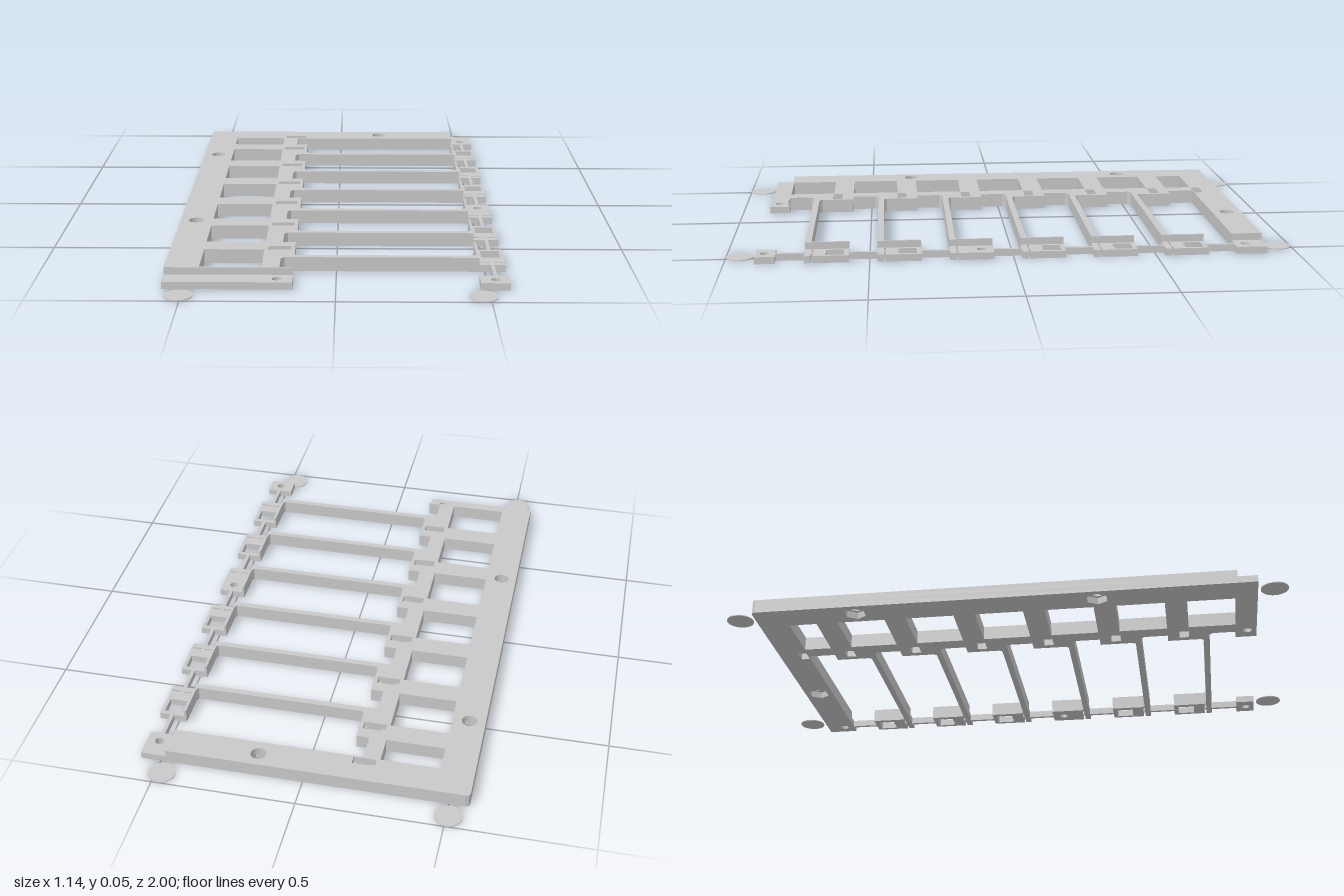
import * as THREE from 'three';

const H = 0.05, HALF = 0.025, PITCH = 0.2513;
const BAR = 0.078; // depth of each cross bar
const STEP = 0.481; // x where the full height drops to half
const starts = Array.from({ length: 6 }, (_, i) => -0.685 + PITCH * i);

export function createModel() {
  const group = new THREE.Group();
  const grey = new THREE.MeshStandardMaterial({ color: 0xc8c8c8 });
  grey.name = 'grey plastic';

  const add = (name, geometry) => {
    const mesh = new THREE.Mesh(geometry, grey);
    mesh.name = name;
    group.add(mesh);
    return mesh;
  };
  const box = (name, x0, x1, y0, y1, z0, z1) =>
    add(name, new THREE.BoxGeometry(x1 - x0, y1 - y0, z1 - z0))
      .position.set((x0 + x1) / 2, (y0 + y1) / 2, (z0 + z1) / 2);

  // Plan outlines are given as [x, z] and raised from y0 to y1
  const outline = pts => pts.map(([x, z]) => new THREE.Vector2(x, -z));
  const rect = (x0, x1, z0, z1) => [[x0, z0], [x1, z0], [x1, z1], [x0, z1]];
  const ring = (x, z, r, n = 24) => Array.from({ length: n }, (_, i) => {
    const a = (i / n) * Math.PI * 2;
    return [x + r * Math.cos(a), z + r * Math.sin(a)];
  });
  const plate = (name, pts, holes, y0, y1) => {
    const shape = new THREE.Shape(outline(pts));
    // holes wind against the outline so their walls face inwards
    shape.holes = holes.map(h => new THREE.Path(outline(h).reverse()));
    const geometry = new THREE.ExtrudeGeometry(shape, { depth: y1 - y0, bevelEnabled: false });
    geometry.rotateX(-Math.PI / 2).translate(0, y0, 0);
    return add(name, geometry);
  };

  // Rails, spine and tabs; the tabs flare into the arms
  const frame = (right, front) => {
    const pts = [[-0.57, -0.88], [-0.566, -0.891], [-0.555, -0.895],
      [right, -0.895], [right, -0.785], [-0.187, -0.785]];
    for (const b of starts)
      pts.push([-0.187, b], [-0.142, b], [-0.142, b + 0.12], [-0.134, b + 0.131],
        [-0.134, b + 0.142], [-0.175, b + 0.153], [-0.187, b + 0.165]);
    pts.push([-0.187, 0.819], [-0.142, 0.819], [-0.142, front], [-0.57, front]);
    return pts;
  };
  const screws = [[0.166, -0.842], [-0.513, -0.527], [-0.513, 0.338]];
  const backs = [-0.785, ...starts.map(b => b + BAR)];
  const windows = backs.map((z, i) => rect(-0.453, -0.247, z, i < 6 ? starts[i] : 0.819));
  const slots = (x0, x1) => backs.map((z, i) => rect(x0, x1, z - 0.035, z - (i ? 0 : 0.004)));

  plate('frameBase', frame(0.57, 0.895), [
    ...windows, ...slots(-0.214, -0.165),
    ...screws.map(([x, z]) => ring(x, z, 0.04, 6)), // nut recesses
    ring(0.525, -0.825, 0.016), ring(-0.194, 0.862, 0.016),
  ], 0, HALF);
  plate('frameTop', frame(STEP, 0.826), [
    ...windows, ...slots(-0.235, -0.155),
    ...screws.map(([x, z]) => ring(x, z, 0.027)),
  ], HALF, H);

  // Arms with a clip block at each tip
  starts.forEach((b, i) => {
    const z0 = b + 0.131, z1 = b + 0.153;
    box('arm', -0.18, STEP, 0, H, z0, z1);
    box('armTip', STEP, 0.57, 0, HALF, z0, z1);
    const hole = i === 3 ? ring(0.525, b + 0.042, 0.016) : rect(0.494, 0.557, b + 0.017, b + 0.08);
    plate('clipBlock', rect(STEP, 0.57, b, b + 0.124), [hole], 0, HALF);
    plate('clipWall', [[0.473, b], [STEP, b], [STEP, b + 0.133], [0.465, b + 0.133], [0.473, b + 0.12]], [], 0, H);
  });
  plate('endBlock', rect(0.473, 0.57, 0.825, 0.895), [ring(0.525, 0.862, 0.016)], 0, HALF);

  // Thin link joining the blocks
  const gaps = [-0.785, ...starts.map(b => b + 0.124)];
  gaps.forEach((z, i) => box('link', 0.519, 0.532, 0, HALF, z, i < 6 ? starts[i] : 0.825));

  // Corner pads
  for (const x of [-0.508, 0.478])
    for (const z of [-0.952, 0.952])
      add('cornerPad', new THREE.CylinderGeometry(0.048, 0.048, 0.003, 40)).position.set(x, 0.0015, z);

  return group;
}
